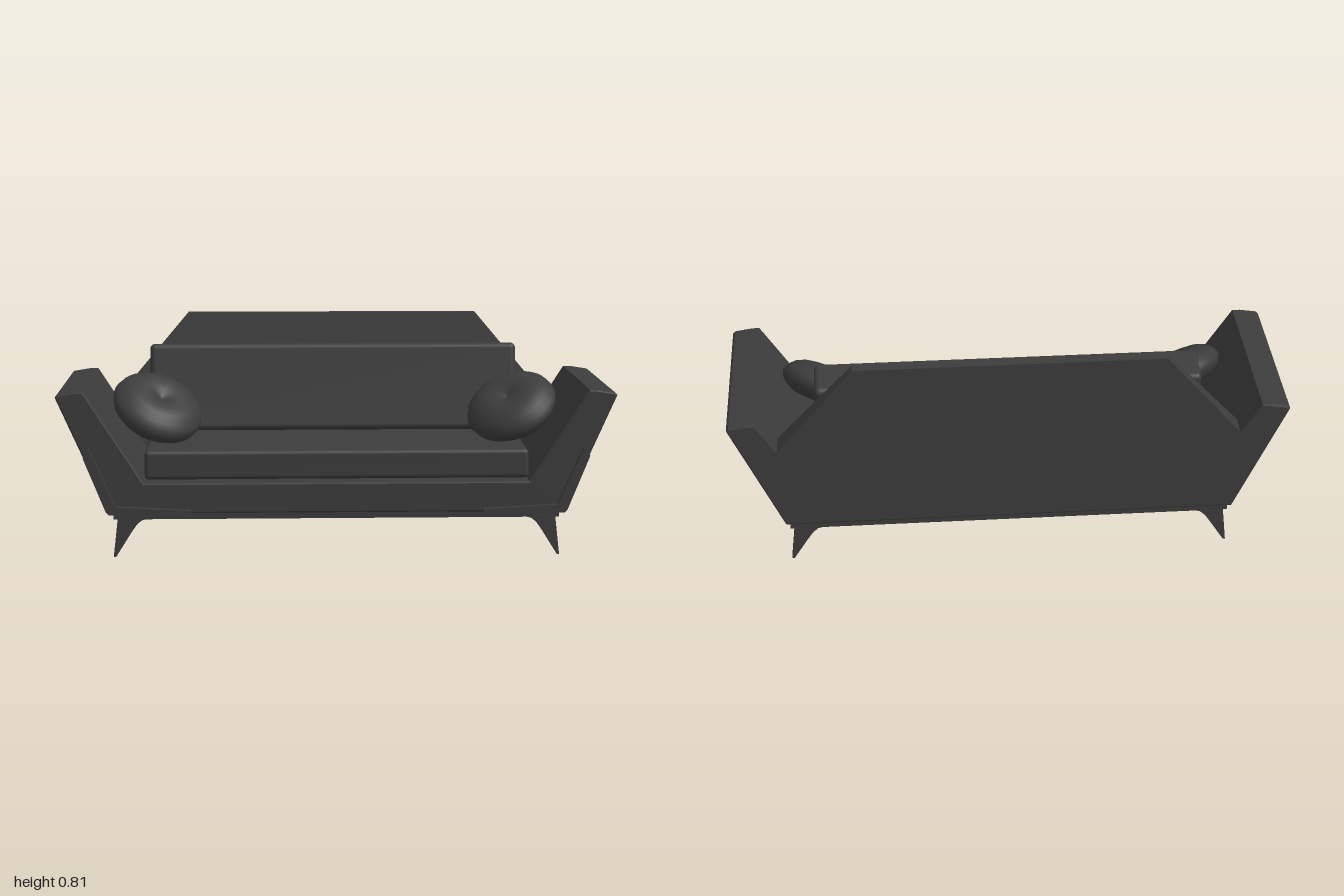
import * as THREE from 'three';
import { RoundedBoxGeometry } from 'three/addons/geometries/RoundedBoxGeometry.js';

const fabric = new THREE.MeshStandardMaterial({ color: 0x3c3c3c });

function add(group, name, geometry) {
  const mesh = new THREE.Mesh(geometry, fabric);
  mesh.name = name;
  group.add(mesh);
  return mesh;
}

// Extrude an x/y outline from z0 to z1, with an optional small inset bevel.
function slab(points, z0, z1, bevel = 0) {
  const shape = new THREE.Shape(points.map(([x, y]) => new THREE.Vector2(x, y)));
  const geometry = new THREE.ExtrudeGeometry(shape, {
    depth: z1 - z0 - 2 * bevel,
    bevelEnabled: bevel > 0,
    bevelSize: bevel,
    bevelThickness: bevel,
    bevelOffset: -bevel,
    bevelSegments: 2,
  });
  return geometry.translate(0, 0, z0 + bevel);
}

// Complete a right-hand half outline with its mirror image.
const symmetric = (half) => [...half, ...half.map(([x, y]) => [-x, y]).reverse()];
const sided = (points, side) => points.map(([x, y]) => [x * side, y]);

export function createModel() {
  const sofa = new THREE.Group();
  sofa.name = 'sofa';

  // Body: deck and two flared arms in one U-shaped section
  add(sofa, 'bodyAndArms', slab(symmetric([
    [0.69, 0.27], [0.9, 0.6], [0.93, 0.599], [0.992, 0.589], [1, 0.58], [0.815, 0.16],
  ]), -0.338, 0.32, 0.006));

  // Backrest: upright rear face, sloping front face
  const back = slab(symmetric([
    [0.8, 0.17], [0.83, 0.483], [0.55, 0.815],
  ]), -0.34, -0.3);
  const p = back.attributes.position;
  for (let i = 0; i < p.count; i++) {
    if (p.getZ(i) > -0.32) p.setZ(i, -0.305 + (0.815 - p.getY(i)) * 0.16);
  }
  back.computeVertexNormals();
  add(sofa, 'backrest', back);

  // Base plate
  add(sofa, 'basePlate', new THREE.BoxGeometry(1.6, 0.025, 0.64)).position.set(0, 0.1505, -0.01);

  // Cushions
  add(sofa, 'seatCushion', new RoundedBoxGeometry(1.375, 0.105, 0.56, 4, 0.016))
    .position.set(0, 0.333, 0.033);
  const backCushion = add(sofa, 'backCushion', new RoundedBoxGeometry(1.375, 0.325, 0.15, 4, 0.02));
  backCushion.position.set(0, 0.545, -0.172);
  backCushion.rotation.x = -0.175;

  // Round pillow profile, dimpled at the centre of both faces
  const half = [
    [0, 0.046], [0.012, 0.05], [0.035, 0.06], [0.07, 0.066], [0.105, 0.061],
    [0.138, 0.046], [0.161, 0.024], [0.17, 0],
  ];
  const outline = [...half, ...half.slice(0, -1).reverse().map(([r, y]) => [r, -y])];
  const profile = outline.reverse().map(([r, y]) => new THREE.Vector2(r, y));
  const pillowGeometry = new THREE.LatheGeometry(profile, 40);

  for (const side of [-1, 1]) {
    const label = side > 0 ? 'left' : 'right';

    // Pillow leaning on the arm
    const pillow = add(sofa, label + 'Pillow', pillowGeometry);
    pillow.position.set(side * 0.652, 0.503, 0.056);
    pillow.quaternion.setFromUnitVectors(
      new THREE.Vector3(0, 1, 0),
      new THREE.Vector3(-side * 0.37, 0.79, 0.47).normalize(),
    );

    // Thin L-shaped trim on the front corner
    add(sofa, label + 'FrontTrim', slab(sided([
      [0.525, 0.16], [0.815, 0.16], [0.825, 0.17], [0.903, 0.365], [0.895, 0.385],
      [0.882, 0.395], [0.79, 0.188], [0.525, 0.174],
    ], side), 0.318, 0.342));

    // Splayed legs with a curved inner edge
    const leg = sided([
      [0.802, 0], [0.785, 0.145], [0.68, 0.145], [0.68, 0.139], [0.7, 0.134],
      [0.718, 0.118], [0.738, 0.089], [0.794, 0],
    ], side);
    add(sofa, label + 'FrontLeg', slab(leg, 0.275, 0.311));
    add(sofa, label + 'BackLeg', slab(leg, -0.33, -0.293));
  }
  return sofa;
}
